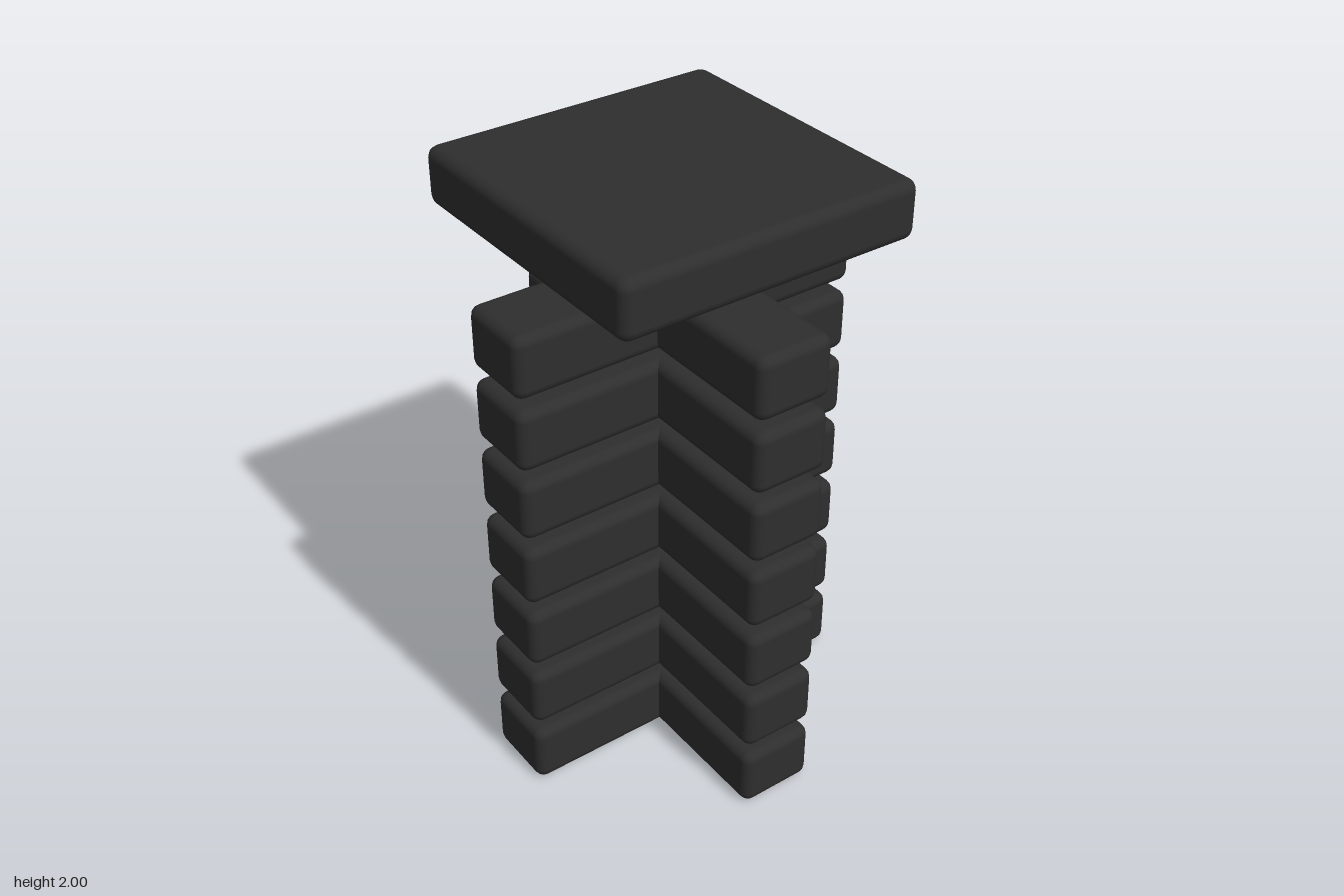
import * as THREE from 'three';
import { RoundedBoxGeometry } from 'three/addons/geometries/RoundedBoxGeometry.js';

export function createModel() {
  const model = new THREE.Group();
  model.name = 'steppedColumn';
  const charcoal = new THREE.MeshStandardMaterial({ name: 'charcoal', color: 0x2e2e2e });

  // Crossed bars stacked in seven floating layers
  const layers = 7, pitch = 0.2457, barHeight = 0.206;
  const barGeometry = new RoundedBoxGeometry(1.21, barHeight, 0.258, 2, 0.034);
  for (let i = 0; i < layers; i++) {
    const layer = new THREE.Group();
    layer.name = `crossLayer${i + 1}`;
    layer.position.y = 0.004 + barHeight / 2 + i * pitch;
    ['sideBar', 'depthBar'].forEach((name, k) => {
      const bar = new THREE.Mesh(barGeometry, charcoal);
      bar.name = name;
      bar.rotation.y = k * Math.PI / 2;
      layer.add(bar);
    });
    model.add(layer);
  }

  // Square slab hovering above the stack
  const slab = new THREE.Mesh(new RoundedBoxGeometry(1.006, 0.188, 1.006, 2, 0.036), charcoal);
  slab.name = 'topSlab';
  slab.position.y = 2 - 0.094;
  model.add(slab);

  return model;
}
